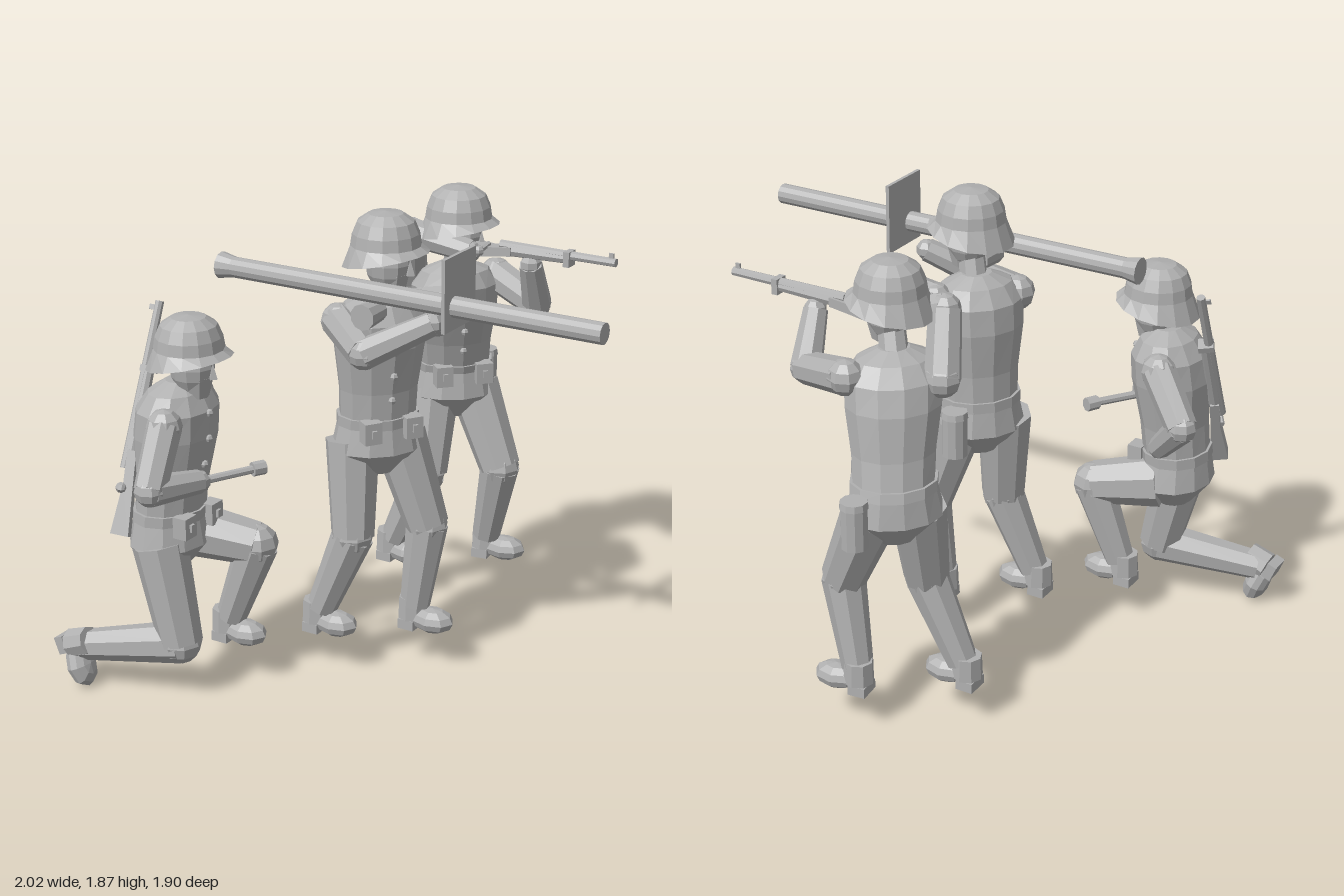
import * as THREE from 'three';

const grey = new THREE.MeshStandardMaterial({ color: 0xb0b0b0, flatShading: true, side: THREE.DoubleSide });
grey.name = 'plain grey';
const V = (p) => new THREE.Vector3(...p);

function add(parent, name, geometry, pos = [0, 0, 0], heading = 0) {
  const m = new THREE.Mesh(geometry, grey);
  m.name = name;
  m.position.set(...pos);
  m.rotation.y = -heading;
  parent.add(m);
  return m;
}

// Tapered rod between two points
function rod(parent, name, a, b, r1, r2, sides = 8) {
  const d = V(b).sub(V(a));
  const m = add(parent, name, new THREE.CylinderGeometry(r2, r1, d.length(), sides));
  m.position.copy(V(a).addScaledVector(d, 0.5));
  m.quaternion.setFromUnitVectors(new THREE.Vector3(0, 1, 0), d.normalize());
  return m;
}

// Closed body from elliptical rings [x, y, z, depth, width], turned to a heading
function loft(parent, name, rings, heading, sides = 12) {
  const pos = [], idx = [], c = Math.cos(heading), s = Math.sin(heading);
  const first = rings[0], last = rings[rings.length - 1];
  const all = [[...first.slice(0, 3), 0, 0], ...rings, [...last.slice(0, 3), 0, 0]];
  all.forEach(([x, y, z, rd, rw]) => {
    for (let i = 0; i < sides; i++) {
      const a = i / sides * Math.PI * 2, f = rd * Math.cos(a), l = rw * Math.sin(a);
      pos.push(x + f * c + l * s, y, z + f * s - l * c);
    }
  });
  for (let k = 0; k < all.length - 1; k++) for (let i = 0; i < sides; i++) {
    const b = k * sides + i, n = k * sides + (i + 1) % sides;
    idx.push(b, n, n + sides, b, n + sides, b + sides);
  }
  const g = new THREE.BufferGeometry();
  g.setAttribute('position', new THREE.Float32BufferAttribute(pos, 3));
  g.setIndex(idx);
  g.computeVertexNormals();
  return add(parent, name, g);
}

// Two-part limb with a rounded joint
function limb(parent, name, [a, b, c], [r1, r2, r3]) {
  rod(parent, name + 'Upper', a, b, r1, r2);
  rod(parent, name + 'Lower', b, c, r2 * 0.97, r3);
  add(parent, name + 'Joint', new THREE.SphereGeometry(r2 * 0.97, 8, 6), b);
}

function arm(parent, name, pts) {
  limb(parent, name, pts, [0.068, 0.062, 0.046]);
  add(parent, name + 'Shoulder', new THREE.SphereGeometry(0.069, 8, 6), pts[0]);
  add(parent, name + 'Hand', new THREE.SphereGeometry(0.043, 7, 5), pts[2]);
}

function leg(parent, name, pts) {
  limb(parent, name, pts, [0.108, 0.086, 0.06]);
}

// Boot standing at an ankle, toe towards the heading
function boot(parent, name, [x, y, z], heading = 0) {
  const g = new THREE.Group();
  g.name = name;
  const toe = new THREE.SphereGeometry(0.07, 8, 6);
  toe.scale(1.3, 0.72, 0.95);
  add(g, 'toe', toe, [0.08, -0.02, 0]);
  add(g, 'heel', new THREE.BoxGeometry(0.07, 0.04, 0.09), [-0.02, -0.05, 0]);
  add(g, 'cuff', new THREE.CylinderGeometry(0.056, 0.06, 0.09, 8), [-0.01, 0.02, 0]);
  g.position.set(x, y, z);
  g.rotation.y = -heading;
  parent.add(g);
  return g;
}

// Helmeted head; origin at the helmet rim
function head(parent, [x, y, z], neckBase) {
  const g = new THREE.Group();
  g.name = 'head';
  const profile = [[0.166, 0], [0.134, 0.055], [0.127, 0.1], [0.108, 0.145], [0.066, 0.174], [0, 0.182]]
    .map((p) => new THREE.Vector2(...p));
  const helm = new THREE.LatheGeometry(profile, 14);
  const p = helm.attributes.position;
  for (let i = 0; i < p.count; i++) {           // raise the peak at the front
    if (p.getY(i) < 0.03) p.setY(i, p.getY(i) + 0.035 * p.getX(i) / 0.166);
  }
  helm.computeVertexNormals();
  add(g, 'helmet', helm);
  const skull = new THREE.SphereGeometry(0.1, 10, 8);
  skull.scale(0.88, 1.15, 0.8);
  add(g, 'face', skull, [0.01, -0.015, 0]);
  add(g, 'jaw', new THREE.CylinderGeometry(0.065, 0.045, 0.08, 8), [0.03, -0.09, 0]);
  add(g, 'nose', new THREE.ConeGeometry(0.02, 0.06, 4), [0.105, -0.02, 0]);
  g.position.set(x, y, z);
  parent.add(g);
  rod(parent, 'neck', neckBase, [x, y - 0.06, z], 0.055, 0.05);
}

// Torso, skirt, belt, pouches and buttons between hip and neck points
function body(parent, hip, neck, h) {
  const at = (t, rd, rw) => [...hip.map((v, i) => v + (neck[i] - v) * t), rd, rw];
  loft(parent, 'torso', [at(0, 0.128, 0.152), at(0.25, 0.13, 0.157), at(0.6, 0.152, 0.18),
    at(0.8, 0.146, 0.182), at(0.93, 0.105, 0.14), at(1, 0.05, 0.06)], h);
  loft(parent, 'jacketSkirt', [[hip[0], hip[1] - 0.22, hip[2], 0.07, 0.08],
    [hip[0], hip[1] - 0.12, hip[2], 0.15, 0.185], at(0, 0.132, 0.157)], h);
  loft(parent, 'belt', [at(-0.04, 0.138, 0.164), at(0.04, 0.138, 0.164)], h);
  const front = (t, r, side = 0) => {
    const q = at(t, 0, 0);
    return [q[0] + r * Math.cos(h) + side * Math.sin(h), q[1], q[2] + r * Math.sin(h) - side * Math.cos(h)];
  };
  for (const s of [-1, 1]) {
    add(parent, 'pouch', new THREE.BoxGeometry(0.06, 0.085, 0.07), front(-0.03, 0.13, s * 0.085), h);
    add(parent, 'pouchClasp', new THREE.BoxGeometry(0.012, 0.03, 0.02), front(-0.03, 0.165, s * 0.085), h);
  }
  for (const [t, r] of [[0.2, 0.13], [0.4, 0.142], [0.6, 0.153], [0.79, 0.147]]) {
    add(parent, 'button', new THREE.SphereGeometry(0.016, 6, 4), front(t, r));
  }
}

// Rifle from butt to muzzle
function rifle(parent, butt, muzzle) {
  const g = new THREE.Group();
  g.name = 'rifle';
  const len = V(butt).distanceTo(V(muzzle));
  const stock = new THREE.Shape([[0, -0.055], [0.25, -0.03], [0.36, -0.02], [0.36, 0.015],
    [0.22, 0.005], [0, 0.015]].map(([a, b]) => new THREE.Vector2(a * len, b)));
  const sg = new THREE.ExtrudeGeometry(stock, { depth: 0.06, bevelEnabled: false });
  sg.translate(0, 0, -0.03);
  add(g, 'stock', sg);
  rod(g, 'foreStock', [0.34 * len, 0, 0], [0.72 * len, 0.003, 0], 0.027, 0.022);
  rod(g, 'barrel', [0.28 * len, 0.015, 0], [len, 0.015, 0], 0.02, 0.017);
  rod(g, 'boltHandle', [0.2 * len, 0.01, 0], [0.2 * len, 0, 0.07], 0.012, 0.012, 6);
  add(g, 'boltKnob', new THREE.SphereGeometry(0.021, 6, 5), [0.2 * len, 0, 0.078]);
  add(g, 'barrelBand', new THREE.BoxGeometry(0.025, 0.06, 0.055), [0.71 * len, 0.003, 0]);
  add(g, 'frontSight', new THREE.BoxGeometry(0.02, 0.03, 0.008), [0.97 * len, 0.035, 0]);
  g.position.set(...butt);
  g.quaternion.setFromUnitVectors(new THREE.Vector3(1, 0, 0), V(muzzle).sub(V(butt)).normalize());
  parent.add(g);
}

function canister(parent, [x, y, z]) {
  rod(parent, 'canister', [x, y - 0.09, z], [x, y + 0.07, z], 0.05, 0.05, 10);
  rod(parent, 'canisterLid', [x, y + 0.07, z], [x, y + 0.095, z], 0.054, 0.05, 10);
}

export function createModel() {
  const model = new THREE.Group();
  const person = (name) => {
    const g = new THREE.Group();
    g.name = name;
    model.add(g);
    return g;
  };

  // Standing figure with the launcher tube
  const a = person('launcherFigure');
  body(a, [-0.04, 1.05, 0.04], [-0.02, 1.55, 0.05], 0.6);
  head(a, [0.02, 1.69, 0.075], [-0.01, 1.5, 0.05]);
  arm(a, 'rightArm', [[-0.13, 1.45, 0.17], [0.08, 1.4, 0.33], [0.3, 1.52, 0.21]]);
  arm(a, 'leftArm', [[0.07, 1.47, -0.1], [0.19, 1.5, -0.11], [0.19, 1.43, -0.02]]);
  leg(a, 'rightLeg', [[-0.11, 0.96, 0.11], [-0.08, 0.58, 0.16], [-0.21, 0.25, 0.19]]);
  leg(a, 'leftLeg', [[0.01, 0.96, -0.03], [0.125, 0.59, -0.06], [0.09, 0.25, -0.03]]);
  boot(a, 'rightBoot', [-0.22, 0.22, 0.19]);
  boot(a, 'leftBoot', [0.09, 0.22, -0.03]);
  canister(a, [-0.04, 0.96, -0.145]);
  const tube = person('launcher');
  rod(tube, 'tube', [-0.57, 1.61, 0.24], [1, 1.61, 0.24], 0.04, 0.04, 12);
  rod(tube, 'flaredEnd', [-0.61, 1.61, 0.24], [-0.55, 1.61, 0.24], 0.052, 0.04, 12);
  add(tube, 'shield', new THREE.BoxGeometry(0.014, 0.275, 0.225), [0.4, 1.662, 0.2]);
  rod(tube, 'grip', [0.06, 1.53, 0.2], [0.06, 1.53, 0.31], 0.042, 0.05, 10);

  // Standing figure aiming a rifle
  const b = person('rifleFigure');
  body(b, [-0.13, 1.03, -0.71], [-0.06, 1.5, -0.59], 0.75);
  head(b, [-0.03, 1.64, -0.56], [-0.07, 1.45, -0.6]);
  arm(b, 'rightArm', [[-0.25, 1.41, -0.57], [-0.2, 1.63, -0.47], [0.06, 1.58, -0.5]]);
  arm(b, 'leftArm', [[0.04, 1.42, -0.75], [0.28, 1.36, -0.65], [0.3, 1.55, -0.55]]);
  leg(b, 'rightLeg', [[-0.19, 0.92, -0.65], [-0.17, 0.58, -0.56], [-0.32, 0.25, -0.55]]);
  leg(b, 'leftLeg', [[-0.07, 0.92, -0.77], [0.08, 0.59, -0.74], [0, 0.25, -0.78]]);
  boot(b, 'rightBoot', [-0.33, 0.22, -0.55]);
  boot(b, 'leftBoot', [0, 0.22, -0.79], -0.1);
  canister(b, [-0.09, 0.94, -0.91]);
  rifle(b, [-0.02, 1.6, -0.54], [0.67, 1.6, -0.54]);

  // Kneeling figure with a stick grenade and a slung rifle
  const c = person('kneelingFigure');
  body(c, [-0.63, 0.73, 0.59], [-0.58, 1.26, 0.57], 0);
  head(c, [-0.53, 1.335, 0.57], [-0.58, 1.2, 0.57]);
  arm(c, 'rightArm', [[-0.53, 1.13, 0.74], [-0.5, 0.93, 0.88], [-0.43, 0.91, 0.67]]);
  arm(c, 'leftArm', [[-0.62, 1.14, 0.41], [-0.78, 0.98, 0.3], [-0.66, 0.84, 0.36]]);
  leg(c, 'rightLeg', [[-0.62, 0.62, 0.68], [-0.53, 0.23, 0.69], [-0.92, 0.17, 0.81]]);
  leg(c, 'leftLeg', [[-0.6, 0.62, 0.5], [-0.35, 0.58, 0.42], [-0.47, 0.25, 0.44]]);
  boot(c, 'leftBoot', [-0.48, 0.22, 0.44]);
  const back = boot(c, 'rightBoot', [-0.93, 0.17, 0.82], 0);
  back.rotation.z = -1.2;
  rod(c, 'grenadeHandle', [-0.47, 0.9, 0.7], [-0.33, 0.91, 0.47], 0.016, 0.016);
  rod(c, 'grenadeHead', [-0.33, 0.91, 0.47], [-0.305, 0.91, 0.425], 0.028, 0.028);
  rifle(c, [-0.76, 0.66, 0.77], [-0.77, 1.48, 0.4]);
  return model;
}
